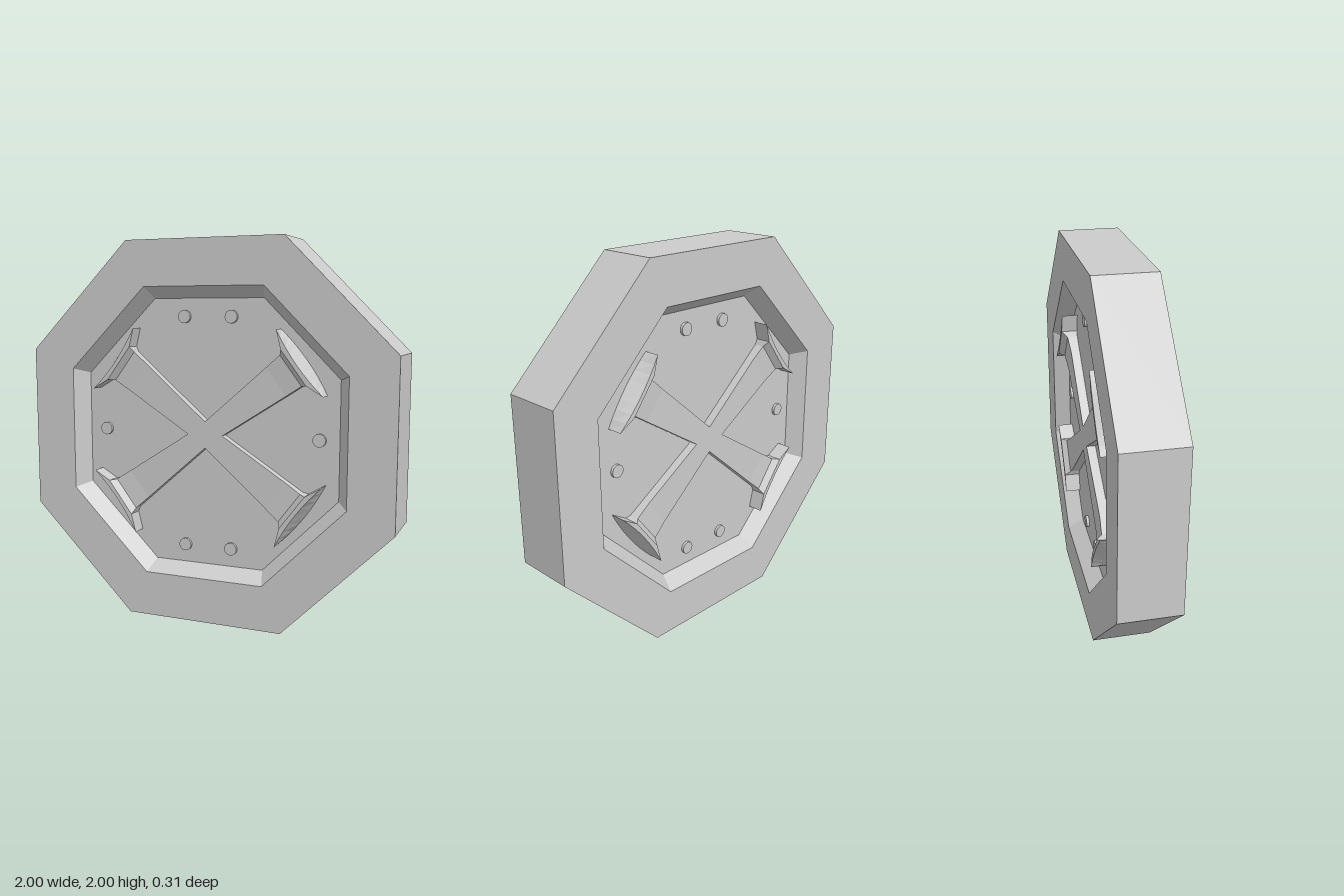
import * as THREE from 'three';

const FRONT = 0.157; // half thickness of the plate
const FLOOR = 0.073; // height of the recessed floor
const ARM = 0.12; // height of the cross face

const material = new THREE.MeshStandardMaterial({ color: 0xcccccc, flatShading: true });

// Collects quads (counter-clockwise corners) into a faceted geometry
function quadsToGeometry(quads) {
  const pos = [];
  for (const [a, b, c, d] of quads) pos.push(...a, ...b, ...c, ...a, ...c, ...d);
  const g = new THREE.BufferGeometry();
  g.setAttribute('position', new THREE.Float32BufferAttribute(pos, 3));
  g.computeVertexNormals();
  return g;
}

// Octagon with flats at distance a and corners at offset b
function octagon(a, b, z) {
  return [[a, -b], [a, b], [b, a], [-b, a], [-a, b], [-a, -b], [-b, -a], [b, -a]]
    .map(([x, y]) => [x, y, z]);
}

// Octagonal plate with a bevelled recess on both sides
function plateGeometry() {
  const half = [[1, 0.43, FRONT], [0.762, 0.328, FRONT], [0.702, 0.303, FLOOR], [0, 0, FLOOR]];
  const back = half.map(([a, b, z]) => [a, b, -z]).reverse();
  const loops = [...back, ...half].map((p) => octagon(...p));
  const quads = [];
  for (let k = 0; k < loops.length - 1; k++) {
    for (let j = 0; j < 8; j++) {
      const n = (j + 1) % 8;
      quads.push([loops[k][j], loops[k][n], loops[k + 1][n], loops[k + 1][j]]);
    }
  }
  return quadsToGeometry(quads);
}

// Widening arm along +x that flares up into a broad curved end
function armGeometry() {
  // distance, half width, height, bow of the row
  const rows = [
    [0, 0.052, ARM, 0],
    [0.48, 0.088, ARM, 0],
    [0.576, 0.095, 0.127, 0],
    [0.604, 0.11, FRONT, 0],
    [0.643, 0.203, FRONT, -0.018],
    [0.643, 0.203, FLOOR, 0.018],
  ];
  const N = 8;
  const grid = rows.map(([u, h, z, bow]) => Array.from({ length: N + 1 }, (_, j) => {
    const t = (2 * j) / N - 1;
    return [u + bow * (1 - t * t), h * t, z];
  }));
  const down = ([x, y]) => [x, y, FLOOR - 0.005];
  const quads = [];
  for (let i = 0; i < rows.length - 1; i++) {
    const p = grid[i], q = grid[i + 1];
    for (let j = 0; j < N; j++) quads.push([p[j], q[j], q[j + 1], p[j + 1]]);
    // side walls down to the floor
    quads.push([down(p[0]), down(q[0]), q[0], p[0]]);
    quads.push([p[N], q[N], down(q[N]), down(p[N])]);
  }
  return quadsToGeometry(quads);
}

// Cross and studs of one face
function createFace(name) {
  const face = new THREE.Group();
  face.name = name;

  const arm = armGeometry();
  const tilt = Math.atan2(0.6, 0.8);
  for (const angle of [tilt, Math.PI - tilt, Math.PI + tilt, -tilt]) {
    const mesh = new THREE.Mesh(arm, material);
    mesh.name = 'crossArm';
    mesh.rotation.z = angle;
    face.add(mesh);
  }

  const stud = new THREE.CylinderGeometry(0.034, 0.034, 0.03, 16).rotateX(Math.PI / 2);
  for (const [x, y] of [[0.13, 0.608], [-0.13, 0.608], [0.13, -0.605], [-0.13, -0.605], [0.6, 0], [-0.6, 0]]) {
    const mesh = new THREE.Mesh(stud, material);
    mesh.name = 'stud';
    mesh.position.set(x, y, FLOOR);
    face.add(mesh);
  }
  return face;
}

export function createModel() {
  const model = new THREE.Group();
  model.name = 'octagonalMedallion';

  const body = new THREE.Group();
  body.name = 'body';
  body.position.y = 1;
  model.add(body);

  const plate = new THREE.Mesh(plateGeometry(), material);
  plate.name = 'plate';
  body.add(plate);

  const front = createFace('frontRelief');
  const back = createFace('backRelief');
  back.rotation.y = Math.PI;
  body.add(front, back);

  return model;
}
